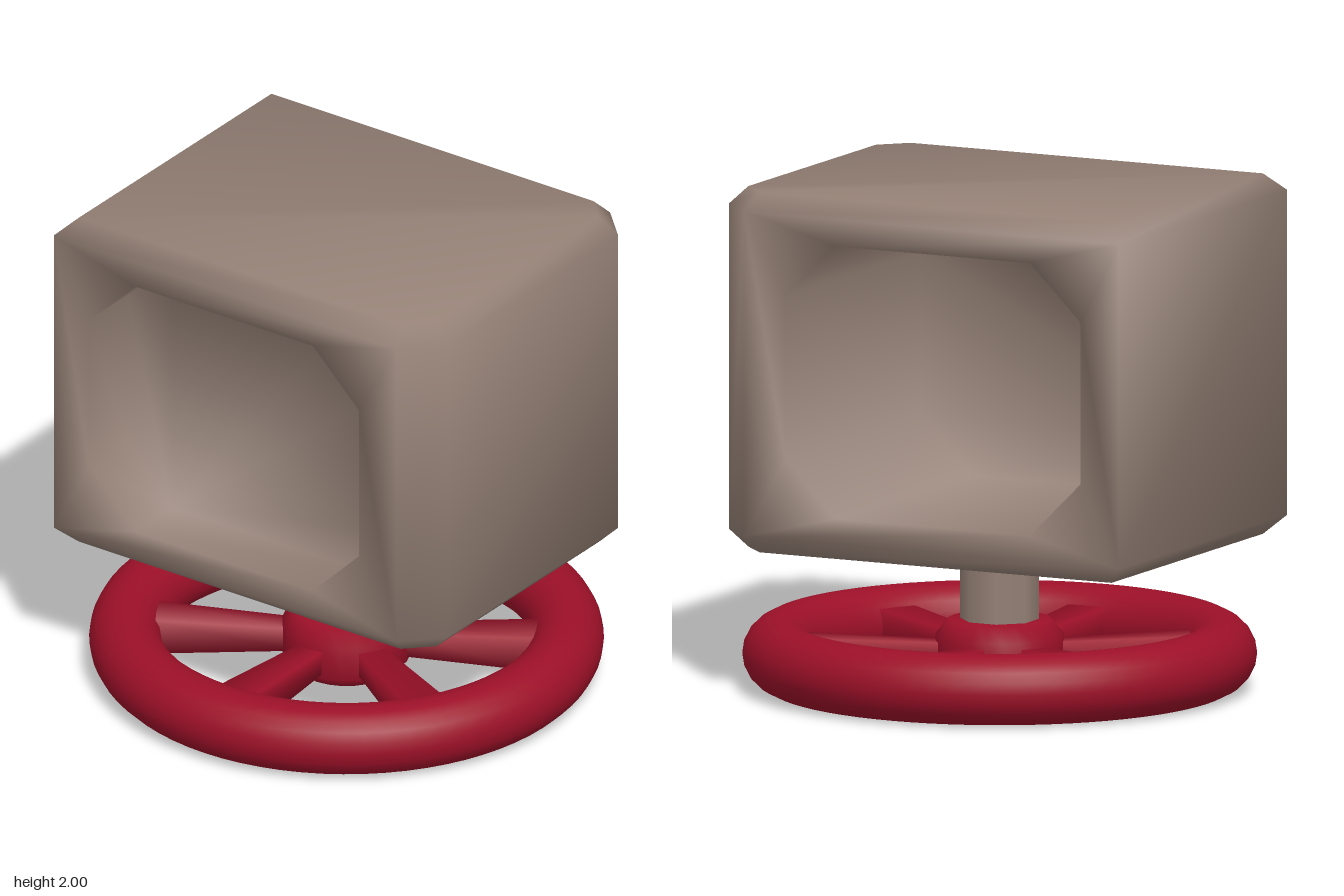
import * as THREE from 'three';
import { mergeVertices } from 'three/addons/utils/BufferGeometryUtils.js';

const taupe = new THREE.MeshStandardMaterial({ color: 0x948075 });
taupe.name = 'taupe';
const crimson = new THREE.MeshStandardMaterial({ color: 0x9c1028 });
crimson.name = 'crimson';

function addMesh(parent, name, geometry, material) {
  const mesh = new THREE.Mesh(geometry, material);
  mesh.name = name;
  parent.add(mesh);
  return mesh;
}

// Smooth normals, each face weighted by its angle at the vertex
function smoothByAngle(geometry) {
  const { position } = geometry.attributes;
  const normals = Array.from({ length: position.count }, () => new THREE.Vector3());
  const index = geometry.index.array;
  for (let t = 0; t < index.length; t += 3) {
    const ids = [index[t], index[t + 1], index[t + 2]];
    const p = ids.map((id) => new THREE.Vector3().fromBufferAttribute(position, id));
    for (let k = 0; k < 3; k++) {
      const a = p[(k + 1) % 3].clone().sub(p[k]);
      const b = p[(k + 2) % 3].clone().sub(p[k]);
      const angle = a.angleTo(b);
      normals[ids[k]].addScaledVector(a.cross(b).normalize(), angle);
    }
  }
  const flat = normals.flatMap((n) => n.normalize().toArray());
  geometry.setAttribute('normal', new THREE.Float32BufferAttribute(flat, 3));
}

// Bevelled box with a shallow octagonal recess in front and a deep one behind, softly shaded
function cabinetGeometry() {
  const positions = [];
  const face = (...pts) => {
    for (let i = 1; i < pts.length - 1; i++) positions.push(...pts[0], ...pts[i], ...pts[i + 1]);
  };
  const both = (...pts) => {
    face(...pts);
    face(...pts.map(([x, y, z]) => [x, y, -z]).reverse());
  };

  // Plan outlines: square corners at -x, cut corners at +x
  const full = [[-0.89, 0.71], [0.75, 0.71], [0.89, 0.57], [0.89, -0.57], [0.75, -0.71], [-0.89, -0.71]];
  const inset = [[-0.82, 0.64], [0.72, 0.64], [0.82, 0.54], [0.82, -0.54], [0.72, -0.64], [-0.82, -0.64]];
  const ring = (plan, y) => plan.map(([x, z]) => [x, y, z]);
  const rings = [ring(inset, 0.58), ring(full, 0.65), ring(full, 1.93), ring(inset, 2)];
  for (let r = 0; r < 3; r++) {
    for (let i = 0; i < 6; i++) {
      if (r === 1 && (i === 0 || i === 4)) continue; // left open for the recesses
      const j = (i + 1) % 6;
      face(rings[r][i], rings[r][j], rings[r + 1][j], rings[r + 1][i]);
    }
  }
  face(...rings[3]);
  face(...[...rings[0]].reverse());

  // Frames around the front and back openings
  const octagon = [[-0.5, 0.75], [0.35, 0.75], [0.57, 0.97], [0.57, 1.61],
    [0.35, 1.825], [-0.5, 1.825], [-0.72, 1.61], [-0.72, 0.97]];
  const section = (z) => octagon.map(([x, y]) => [x, y, z]);
  const corners = [rings[1][0], rings[1][1], rings[2][1], rings[2][0]];
  const rim = section(0.71);
  for (let k = 0; k < 4; k++) {
    both(corners[k], rim[2 * k], rim[(2 * k + 7) % 8]);
    both(corners[k], corners[(k + 1) % 4], rim[2 * k + 1], rim[2 * k]);
  }

  // Recess walls, split by a partition near the front
  const sections = [0.71, 0.46, 0.44, -0.71].map(section);
  for (const s of [0, 2]) {
    for (let i = 0; i < 8; i++) {
      const j = (i + 1) % 8;
      face(sections[s][i], sections[s][j], sections[s + 1][j], sections[s + 1][i]);
    }
  }
  face(...sections[1]);
  face(...[...sections[2]].reverse());

  let geometry = new THREE.BufferGeometry();
  geometry.setAttribute('position', new THREE.Float32BufferAttribute(positions, 3));
  geometry = mergeVertices(geometry);
  smoothByAngle(geometry);
  return geometry;
}

export function createModel() {
  const model = new THREE.Group();
  model.name = 'boxOnWheel';

  addMesh(model, 'cabinet', cabinetGeometry(), taupe);

  // Post between wheel and cabinet
  const post = addMesh(model, 'post', new THREE.CylinderGeometry(0.154, 0.154, 0.36, 8), taupe);
  post.position.y = 0.42;
  post.rotation.y = Math.PI / 8;

  // Flat-lying wheel
  const wheel = new THREE.Group();
  wheel.name = 'wheel';
  model.add(wheel);

  const rim = addMesh(wheel, 'rim', new THREE.TorusGeometry(0.86, 0.14, 20, 72), crimson);
  rim.rotation.x = Math.PI / 2;
  rim.position.y = 0.145;

  // Hub with a dimple underneath
  const profile = [[0, 0.07], [0.07, 0.06], [0.1, 0.03], [0.2, 0.03], [0.25, 0.08],
    [0.25, 0.22], [0.2, 0.28], [0, 0.28]].map(([x, y]) => new THREE.Vector2(x, y));
  addMesh(wheel, 'hub', new THREE.LatheGeometry(profile, 24), crimson);

  // Six spokes, wider towards the rim
  const spokeGeometry = new THREE.CylinderGeometry(0.12, 0.075, 0.6, 4);
  spokeGeometry.rotateY(Math.PI / 4);
  spokeGeometry.rotateZ(-Math.PI / 2);
  spokeGeometry.scale(1, 0.88, 1);
  spokeGeometry.translate(0.49, 0.145, 0);
  for (let i = 0; i < 6; i++) {
    addMesh(wheel, 'spoke', spokeGeometry, crimson).rotation.y = Math.PI / 6 + (i * Math.PI) / 3;
  }
  return model;
}
